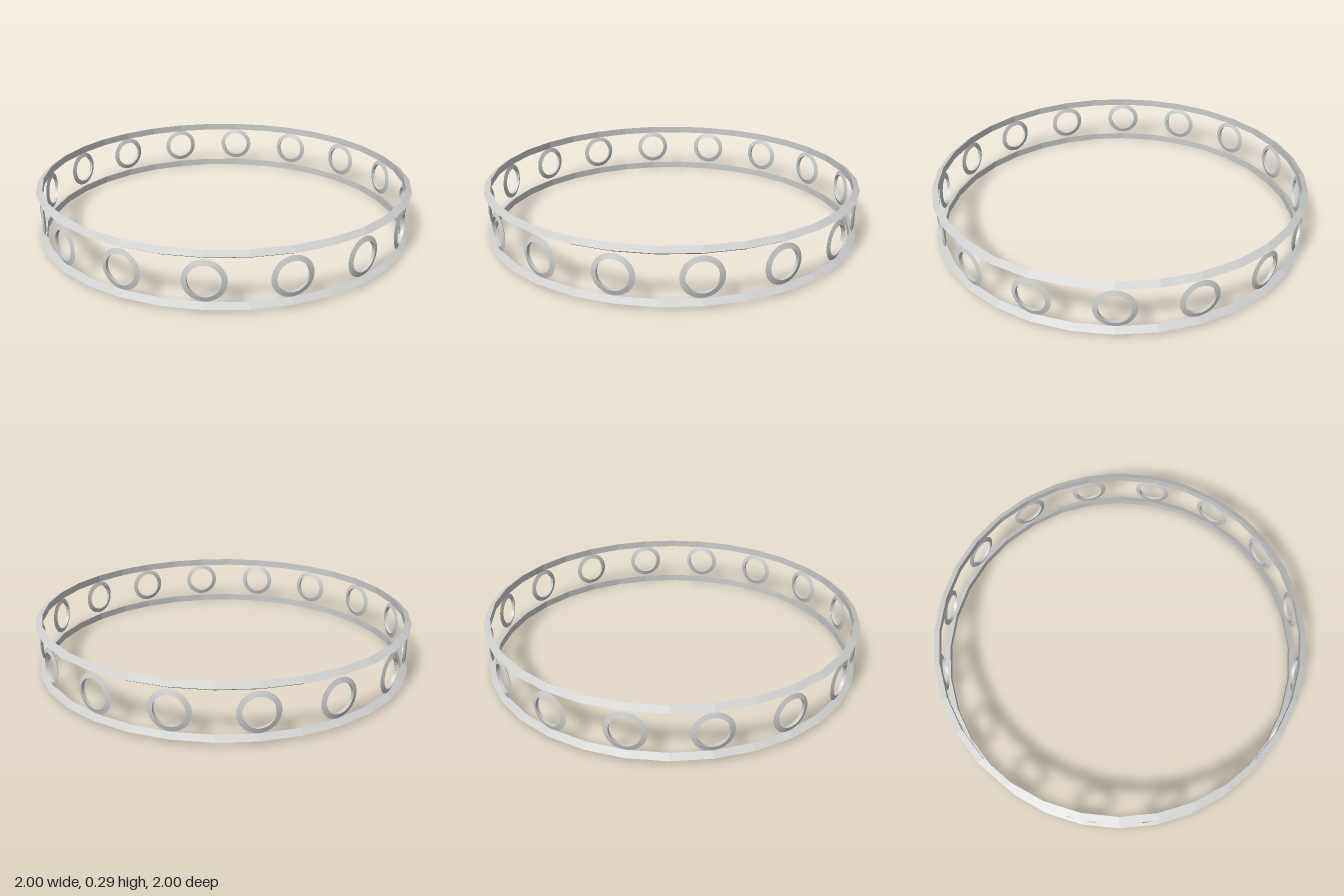
import * as THREE from 'three';

const material = new THREE.MeshStandardMaterial({ color: 0xcccccc, flatShading: true });

// Ring with a triangular section whose sharp edge points outward
function ring(name, outer, tube, segments) {
  const mesh = new THREE.Mesh(new THREE.TorusGeometry(outer - tube, tube, 3, segments), material);
  mesh.name = name;
  return mesh;
}

export function createModel() {
  const model = new THREE.Group();
  model.name = 'bracelet';

  // Two large hoops, lower and upper
  for (const [name, y] of [['lowerHoop', 0.0195], ['upperHoop', 0.2695]]) {
    const hoop = ring(name, 1, 0.0225, 32);
    hoop.rotation.x = Math.PI / 2;
    hoop.position.y = y;
    model.add(hoop);
  }

  // Small upright rings spaced around the band, facing outward
  const count = 16, radius = 0.976;
  for (let i = 0; i < count; i++) {
    const a = (i / count) * Math.PI * 2;
    const link = ring('linkRing' + (i + 1), 0.1, 0.0165, 32);
    link.scale.z = 0.6;
    link.position.set(Math.sin(a) * radius, 0.1475, Math.cos(a) * radius);
    link.rotation.y = a;
    model.add(link);
  }
  return model;
}
